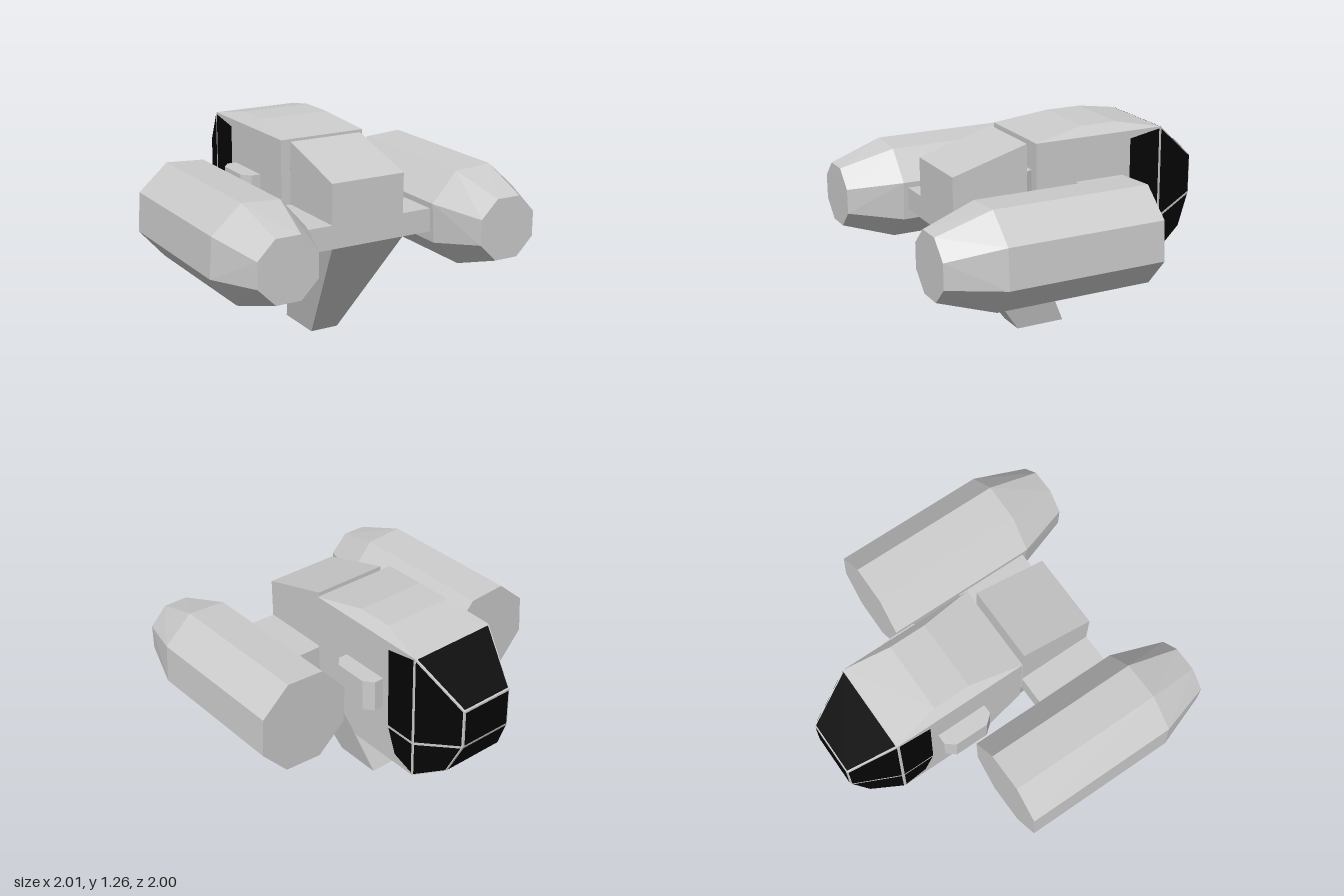
import * as THREE from 'three';
import { ConvexGeometry } from 'three/addons/geometries/ConvexGeometry.js';

const grey = new THREE.MeshStandardMaterial({ color: 0xcccccc, flatShading: true });
const glass = new THREE.MeshStandardMaterial({ color: 0x050505, side: THREE.DoubleSide });

const V = (p) => new THREE.Vector3(...p);
const mirror = (p) => [-p[0], p[1], p[2]];

function solid(name, points) {
  const mesh = new THREE.Mesh(new ConvexGeometry(points.map(V)), grey);
  mesh.name = name;
  return mesh;
}

// Convex solid symmetric about x = 0, given its +x corners
const symmetric = (name, half) => solid(name, [...half, ...half.map(mirror)]);

// Thin pane inset from its four corners and lifted slightly off the hull
function pane(name, corners, inset = 0.009, lift = 0.003) {
  const c = corners.map(V);
  const normal = c[2].clone().sub(c[0]).cross(c[3].clone().sub(c[1])).normalize();
  const centre = c.reduce((a, b) => a.add(b), new THREE.Vector3()).multiplyScalar(0.25);
  const outward = centre.sub(new THREE.Vector3(0, 0.8, -0.5));
  if (normal.dot(outward) < 0) {
    normal.negate();
    c.reverse();
  }
  const pts = c.map((p, i) => {
    const q = p.clone().addScaledVector(normal, lift);
    for (const j of [(i + 1) % 4, (i + 3) % 4]) {
      q.addScaledVector(c[j].clone().sub(p).normalize(), inset);
    }
    return q;
  });
  const geometry = new THREE.BufferGeometry().setFromPoints(pts);
  geometry.setIndex([0, 1, 2, 0, 2, 3]);
  geometry.computeVertexNormals();
  const mesh = new THREE.Mesh(geometry, glass);
  mesh.name = name;
  return mesh;
}

// Octagonal ring of points across z
function octagon(x, y, z, radius, turn) {
  return Array.from({ length: 8 }, (_, i) => {
    const a = (i + 0.5) * Math.PI / 4 + turn;
    return [x + radius * Math.cos(a), y + radius * Math.sin(a), z];
  });
}

export function createModel() {
  const model = new THREE.Group();

  // Cabin: body, chamfered roof and tapered nose
  const top = [0.275, 1.21, -0.71], brow = [0.17, 0.97, -1];
  const sill = [0.17, 0.73, -1], chin = [0.203, 0.53, -0.91];
  const base = [0.275, 0.41, -0.71], seam = [0.275, 0.64, -0.71];
  model.add(symmetric('cabin', [
    [0.275, 1.21, 0.13], [0.275, 0.71, 0.13], [0.275, 0.41, -0.2],
    [0.22, 1.263, -0.2], [0.22, 1.263, -0.43],
    top, brow, sill, chin, base,
  ]));

  // Front windows
  const windows = new THREE.Group();
  windows.name = 'windows';
  const across = (a, b) => [a, b, mirror(b), mirror(a)];
  windows.add(
    pane('upperWindow', across(top, brow)),
    pane('middleWindow', across(brow, sill)),
    pane('lowerWindow', across(sill, chin)),
  );

  // Side windows, on the nose and along the cabin
  const sidePanes = {
    noseSideWindow: [top, brow, sill, seam],
    lowerNoseSideWindow: [seam, sill, chin, base],
    doorWindow: [[0.275, 1.17, -0.49], top, seam, [0.275, 0.64, -0.49]],
    lowerDoorWindow: [[0.275, 0.64, -0.49], seam, [0.275, 0.415, -0.71], [0.275, 0.47, -0.555]],
  };
  for (const [name, corners] of Object.entries(sidePanes)) {
    windows.add(pane(name, corners), pane(name, corners.map(mirror)));
  }
  model.add(windows);

  // Crossbar joining the engines
  const bar = new THREE.Mesh(new THREE.BoxGeometry(1, 0.14, 0.47), grey);
  bar.position.set(0, 0.76, 0.405);
  bar.name = 'crossbar';
  model.add(bar);

  // Sloped housing on the crossbar, and the neck to the cabin
  model.add(symmetric('housing', [
    [0.235, 0.83, 0.64], [0.235, 1.07, 0.64], [0.235, 0.83, 0.17], [0.235, 1.205, 0.17],
  ]));
  model.add(symmetric('neck', [
    [0.235, 0.7, 0.17], [0.235, 1.04, 0.17], [0.215, 0.7, 0.13], [0.215, 1.04, 0.13],
  ]));

  // Swept keel that the craft stands on
  model.add(symmetric('keel', [
    [0.235, 0.69, 0.64], [0.235, 0.69, 0.17], [0.09, 0, 0.16], [0.09, 0, -0.15],
  ]));

  // Engines and side pods, one pair on each side
  const engine = [
    ...octagon(0.711, 0.763, -0.285, 0.309, 0.06),
    ...octagon(0.711, 0.763, 0.67, 0.309, 0.06),
    ...octagon(0.708, 0.763, 0.995, 0.197, 0),
  ];
  const podOutline = [
    [0.27, -0.45], [0.335, -0.45], [0.38, -0.395], [0.38, -0.185], [0.335, -0.13], [0.27, -0.13],
  ];
  const pod = [0.75, 0.945].flatMap((y) => podOutline.map(([x, z]) => [x, y, z]));
  model.add(solid('leftEngine', engine), solid('rightEngine', engine.map(mirror)));
  model.add(solid('leftPod', pod), solid('rightPod', pod.map(mirror)));

  return model;
}
